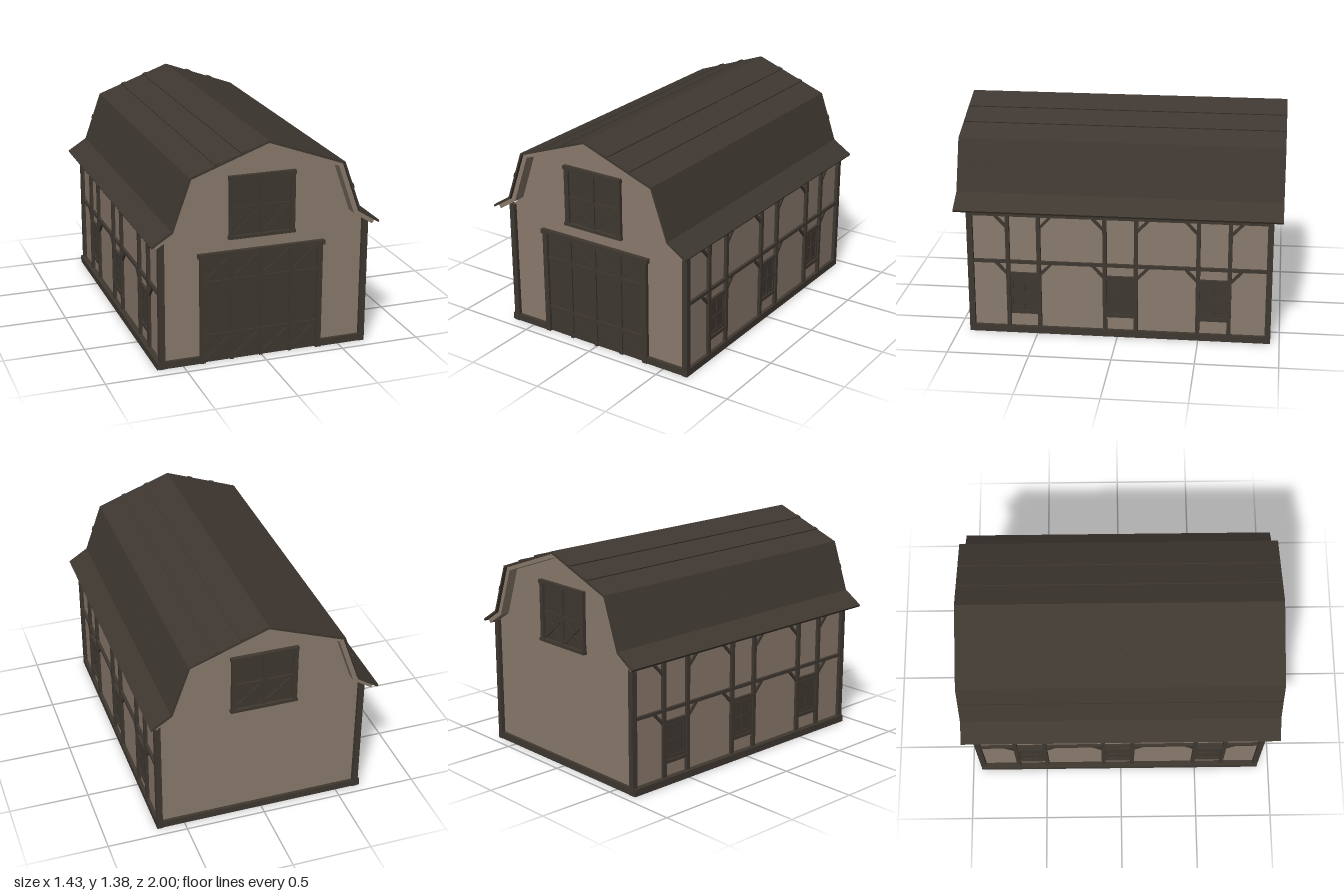
import * as THREE from 'three';

const mat = (name, color) => {
  const m = new THREE.MeshStandardMaterial({ color });
  m.name = name;
  return m;
};

export function createModel() {
  const plaster = mat('plaster', 0x8a7a6c);
  const timber = mat('darkTimber', 0x3f3831);
  const barn = new THREE.Group();
  barn.name = 'barn';
  const CX = 0.013, CZ = -0.0085, HX = 0.64, HZ = 0.9125;

  const add = (parent, name, geo, material) => {
    const m = new THREE.Mesh(geo, material);
    m.name = name;
    parent.add(m);
    return m;
  };
  // Box given by its extents in x, y and z
  const block = (parent, name, x0, x1, y0, y1, z0, z1, material = timber) => {
    const m = add(parent, name, new THREE.BoxGeometry(x1 - x0, y1 - y0, z1 - z0), material);
    m.position.set((x0 + x1) / 2, (y0 + y1) / 2, (z0 + z1) / 2);
    return m;
  };
  // Slanted bar lying on a facade plane
  const bar = (parent, name, x0, y0, x1, y1, width, z0, z1) => {
    const g = new THREE.BoxGeometry(Math.hypot(x1 - x0, y1 - y0), width, z1 - z0);
    const m = add(parent, name, g, timber);
    m.position.set((x0 + x1) / 2, (y0 + y1) / 2, (z0 + z1) / 2);
    m.rotation.z = Math.atan2(y1 - y0, x1 - x0);
  };
  // Extruded outline centred on z
  const extrude = (pts, halfLength) => {
    const shape = new THREE.Shape(pts.map(([x, y]) => new THREE.Vector2(x, y)));
    const g = new THREE.ExtrudeGeometry(shape, { depth: halfLength * 2, bevelEnabled: false });
    return g.translate(0, 0, -halfLength);
  };
  // Full gambrel line from the right half, eave to eave
  const both = half => [...half.slice().reverse(), ...half.slice(1).map(([x, y]) => [-x, y])];
  const shell = (outer, inner) => [...both(outer), ...both(inner).reverse()];

  // Walls, closed below by the pale floor
  const wall = add(barn, 'walls', extrude([
    [CX - HX, 0], [CX + HX, 0], [CX + HX, 0.81], [0.56, 0.87], [0.455, 1.177], [0, 1.34],
    [-0.455, 1.177], [-0.56, 0.87], [CX - HX, 0.81]], HZ), plaster);
  wall.position.z = CZ;

  // Roof skin and pale lining that shows as the gable trim
  const top = [[0, 1.375], [0.48, 1.2], [0.59, 0.89], [0.715, 0.81]];
  const mid = [[0, 1.361], [0.471, 1.189], [0.581, 0.879], [0.708, 0.798]];
  const lineTop = [...mid.slice(0, 3), [0.69, 0.809]];
  const low = [[0, 1.333], [0.448, 1.172], [0.555, 0.865], [0.675, 0.787]];
  add(barn, 'roofSkin', extrude(shell(top, mid), 1), timber);
  add(barn, 'roofLining', extrude(shell(lineTop, low), 0.98), plaster);

  // Lengthwise roof battens
  for (const s of [-1, 1]) {
    for (const [i, t] of [[0, 0.325], [0, 0.65], [1, 0.5]]) {
      const [x0, y0] = top[i], [x1, y1] = top[i + 1];
      const m = add(barn, 'roofBatten', new THREE.BoxGeometry(0.028, 0.013, 1.996), timber);
      m.position.set(s * (x0 + (x1 - x0) * t), y0 + (y1 - y0) * t, 0);
      m.rotation.z = s * Math.atan2(y1 - y0, x1 - x0);
    }
  }

  // Sills and corner posts
  const zf = CZ + HZ, zb = CZ - HZ, xr = CX + HX, xl = CX - HX;
  block(barn, 'backSill', xl - 0.02, xr + 0.02, 0, 0.044, zb - 0.02, zb + 0.01);
  block(barn, 'frontSillRight', xl - 0.02, -0.385, 0, 0.044, zf - 0.01, zf + 0.02);
  block(barn, 'frontSillLeft', 0.375, xr + 0.02, 0, 0.044, zf - 0.01, zf + 0.02);
  for (const x of [xl, xr])
    for (const z of [zb, zf]) {
      const ox = Math.sign(x) * 0.004, oz = Math.sign(z) * 0.006;
      block(barn, 'cornerPost', x + ox - 0.018, x + ox + 0.018, 0, 0.805, z + oz - 0.018, z + oz + 0.018);
    }

  // Crossed boards within a panel
  const cross = (g, x0, x1, y0, y1) => {
    bar(g, 'crossBoard', x0, y0, x1, y1, 0.022, 0, 0.015);
    bar(g, 'crossBoard', x0, y1, x1, y0, 0.022, 0, 0.012);
  };

  // Large front door
  const door = new THREE.Group();
  door.name = 'barnDoor';
  door.position.z = zf;
  block(door, 'doorLeaves', -0.37, 0.36, 0, 0.68, -0.005, 0.007);
  block(door, 'doorPost', -0.393, -0.36, 0, 0.68, -0.01, 0.025);
  block(door, 'doorPost', 0.35, 0.383, 0, 0.68, -0.01, 0.025);
  block(door, 'doorLintel', -0.405, 0.395, 0.67, 0.698, -0.01, 0.028);
  const stiles = [-0.36, -0.19, -0.005, 0.185, 0.35];
  stiles.slice(1, 4).forEach(x => block(door, 'doorStile', x - 0.011, x + 0.011, 0, 0.67, 0, 0.018));
  for (const y of [0.17, 0.51]) block(door, 'doorRail', -0.36, 0.35, y - 0.011, y + 0.011, 0, 0.017);
  for (let i = 0; i < 4; i++) {
    cross(door, stiles[i] + 0.015, stiles[i + 1] - 0.015, 0.02, 0.15);
    cross(door, stiles[i] + 0.015, stiles[i + 1] - 0.015, 0.53, 0.66);
  }
  barn.add(door);

  // Loft hatch, one on each gable
  for (const front of [true, false]) {
    const g = new THREE.Group();
    g.name = front ? 'frontLoftHatch' : 'backLoftHatch';
    block(g, 'hatchLeaves', -0.195, 0.185, 0.785, 1.145, -0.005, 0.007);
    block(g, 'hatchPost', -0.212, -0.182, 0.785, 1.14, -0.01, 0.022);
    block(g, 'hatchPost', 0.17, 0.2, 0.785, 1.14, -0.01, 0.022);
    block(g, 'hatchSill', -0.218, 0.204, 0.77, 0.79, -0.01, 0.026);
    block(g, 'hatchLintel', -0.217, 0.202, 1.133, 1.158, -0.01, 0.026);
    block(g, 'hatchStile', -0.016, 0.006, 0.79, 1.135, 0, 0.018);
    block(g, 'hatchRail', -0.182, 0.172, 0.946, 0.966, 0, 0.017);
    cross(g, -0.175, -0.02, 0.805, 0.94);
    cross(g, 0.01, 0.165, 0.805, 0.94);
    g.position.z = front ? zf : zb;
    if (!front) {
      g.rotation.y = Math.PI;
      g.position.x = -0.012;
    }
    barn.add(g);
  }

  // Timber framing and windows on a long side; s = 1 is the left (+x) wall
  for (const s of [1, -1]) {
    const g = new THREE.Group();
    g.name = s > 0 ? 'leftFraming' : 'rightFraming';
    const span = (name, z0, z1, y0, y1, d0, d1) =>
      block(g, name, Math.min(-s * z0, -s * z1), Math.max(-s * z0, -s * z1), y0, y1, d0, d1);
    span('sideSill', zb - 0.02, zf + 0.02, 0, 0.044, -0.01, s > 0 ? 0.022 : 0.036);
    span('middleBeam', zb, zf, 0.461, 0.481, -0.005, 0.018);
    span('topBeam', zb, zf, 0.768, 0.79, -0.005, 0.018);
    for (const [za, zc] of [[0.677, 0.485], [0.077, -0.115], [-0.495, -0.687]]) {
      for (const [z, out] of [[za, 1], [zc, -1]]) {
        span('wallPost', z - 0.0125, z + 0.0125, 0, 0.775, -0.005, 0.02);
        for (const y of [0.77, 0.462])
          bar(g, 'cornerBrace', -s * (z + out * 0.075), y, -s * z, y - 0.08, 0.017, -0.005, 0.014);
      }
      // Shuttered window between the posts
      const zm = (za + zc) / 2;
      span('windowShutters', zc, za, 0.14, 0.39, -0.005, 0.005);
      span('windowSill', zc, za, 0.128, 0.15, -0.005, 0.016);
      span('windowHead', zc, za, 0.38, 0.4, -0.005, 0.016);
      for (const d of [-0.075, 0, 0.075])
        span('shutterStile', zm + d - 0.007, zm + d + 0.007, 0.15, 0.38, 0, 0.011);
      for (const y of [0.165, 0.265, 0.365])
        span('shutterRail', zc, za, y - 0.007, y + 0.007, 0, 0.01);
    }
    g.rotation.y = s * Math.PI / 2;
    g.position.x = s > 0 ? xr : xl;
    barn.add(g);
  }
  return barn;
}
